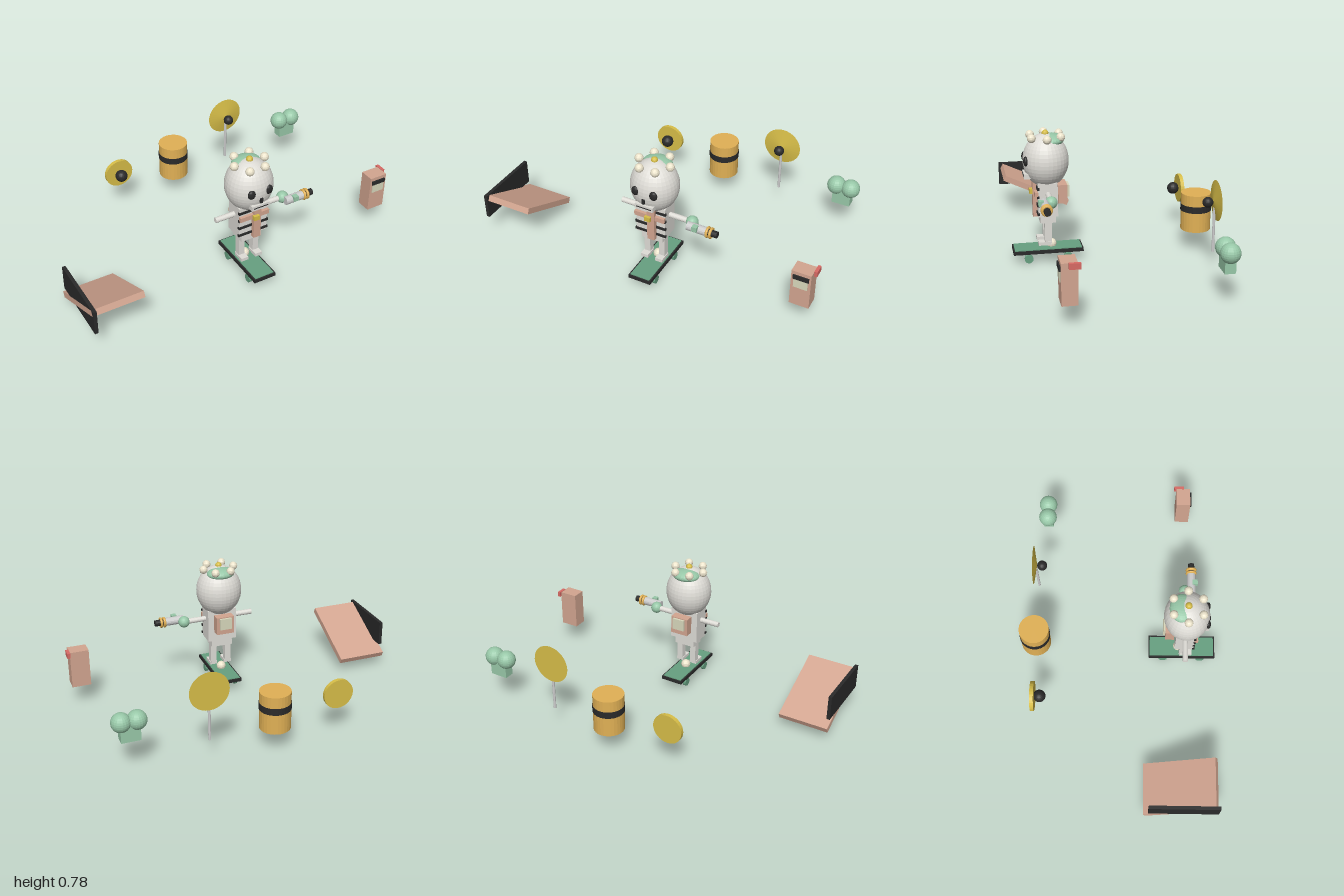
import * as THREE from 'three';

const COLORS = {
  bone: 0xdedcd6, pearl: 0xece4cc, black: 0x2a2a2a, wood: 0xd2a590, drum: 0xe0b055,
  brass: 0xd6bd48, grip: 0x66a080, green: 0x98c8a8, red: 0xd86a64, paper: 0xd8d8bc, steel: 0xc4c4c4,
};
const CX = 0.04, CZ = 0.39; // figure centre line

export function createModel() {
  const root = new THREE.Group();
  const mats = {};
  for (const [key, color] of Object.entries(COLORS))
    mats[key] = new THREE.MeshStandardMaterial({ color, flatShading: true });

  const group = (name) => {
    const g = new THREE.Group();
    g.name = name;
    root.add(g);
    return g;
  };
  const add = (parent, name, geo, mat, x, y, z) => {
    const m = new THREE.Mesh(geo, mats[mat]);
    m.name = name;
    m.position.set(x, y, z);
    parent.add(m);
    return m;
  };
  const box = (p, name, mat, w, h, d, x, y, z) => add(p, name, new THREE.BoxGeometry(w, h, d), mat, x, y, z);
  const ball = (p, name, mat, r, x, y, z, seg = 20) =>
    add(p, name, new THREE.SphereGeometry(r, seg, Math.round(seg * 0.7)), mat, x, y, z);
  // Cylinder along the chosen axis
  const rod = (p, name, mat, axis, r, len, x, y, z, seg = 16, rTop = r) => {
    const geo = new THREE.CylinderGeometry(rTop, r, len, seg);
    if (axis === 'x') geo.rotateZ(-Math.PI / 2);
    if (axis === 'z') geo.rotateX(Math.PI / 2);
    return add(p, name, geo, mat, x, y, z);
  };

  // Head and face
  const head = group('head');
  ball(head, 'skull', 'bone', 1, CX, 0.604, CZ, 32).scale.set(0.138, 0.156, 0.131);
  ball(head, 'skullCap', 'green', 1, CX, 0.722, 0.355, 24).scale.set(0.085, 0.035, 0.07);
  for (const s of [-1, 1])
    ball(head, 'eye', 'black', 1, CX + s * 0.054, 0.616, 0.508, 16).scale.set(0.024, 0.028, 0.015);
  box(head, 'nose', 'black', 0.016, 0.03, 0.02, CX, 0.57, 0.517);
  box(head, 'teeth', 'bone', 0.11, 0.03, 0.04, CX, 0.526, 0.5);
  box(head, 'mouthSlit', 'black', 0.09, 0.005, 0.004, CX, 0.526, 0.52);

  // Crown of six beads around a brass stud
  const crown = group('crown');
  for (let i = 0; i < 6; i++) {
    const a = (i * Math.PI) / 3;
    ball(crown, 'crownBead', 'pearl', 0.025, CX + 0.095 * Math.cos(a), 0.745, CZ + 0.095 * Math.sin(a), 12);
  }
  ball(crown, 'crownStud', 'brass', 0.02, CX, 0.76, CZ, 12);

  // Torso, ribs and straps
  const body = group('body');
  box(body, 'torso', 'bone', 0.18, 0.2, 0.112, CX, 0.39, 0.391);
  box(body, 'pelvis', 'bone', 0.13, 0.06, 0.09, CX, 0.275, CZ);
  for (let i = 0; i < 4; i++)
    box(body, 'rib', 'black', 0.19, 0.014, 0.014, CX, 0.31 + i * 0.05, 0.446);
  box(body, 'chestStrap', 'wood', 0.045, 0.21, 0.026, 0.053, 0.383, 0.459);
  box(body, 'crossStrap', 'wood', 0.185, 0.028, 0.02, CX, 0.425, 0.455);
  box(body, 'buckle', 'brass', 0.036, 0.028, 0.02, CX, 0.425, 0.479);

  // Backpack
  const pack = group('backpack');
  box(pack, 'packBody', 'wood', 0.11, 0.11, 0.053, CX, 0.41, 0.302);
  box(pack, 'packPocket', 'paper', 0.075, 0.07, 0.016, CX, 0.424, 0.27);

  // Legs and feet
  for (const s of [-1, 1]) {
    const leg = group(s > 0 ? 'leftLeg' : 'rightLeg');
    box(leg, 'shin', 'bone', 0.036, 0.16, 0.04, CX + s * 0.046, 0.2, 0.39);
    box(leg, 'foot', 'bone', 0.045, 0.02, 0.074, CX + s * 0.046, 0.12, 0.411);
  }
  ball(root, 'footBead', 'pearl', 0.029, CX, 0.096, 0.366, 12);

  // Arms, the left one ending in a barrel
  rod(root, 'rightArm', 'bone', 'x', 0.016, 0.14, -0.1, 0.425, CZ);
  const arm = group('leftArm');
  rod(arm, 'upperArm', 'bone', 'x', 0.016, 0.14, 0.18, 0.425, CZ);
  ball(arm, 'elbow', 'green', 0.035, 0.268, 0.425, CZ);
  rod(arm, 'barrel', 'steel', 'x', 0.025, 0.12, 0.32, 0.425, 0.43);
  box(arm, 'barrelSight', 'green', 0.03, 0.03, 0.03, 0.315, 0.44, 0.451);
  for (const x of [0.382, 0.402]) {
    const geo = new THREE.TorusGeometry(0.025, 0.008, 8, 20).rotateY(Math.PI / 2);
    add(arm, 'barrelRing', geo, 'drum', x, 0.425, 0.43);
  }
  rod(arm, 'muzzle', 'black', 'x', 0.019, 0.07, 0.405, 0.425, 0.43);

  // Skateboard
  const board = group('skateboard');
  box(board, 'deck', 'black', 0.138, 0.02, 0.406, CX, 0.069, CZ);
  box(board, 'gripTop', 'grip', 0.12, 0.006, 0.39, CX, 0.081, CZ);
  for (const z of [0.505, 0.277]) {
    box(board, 'truck', 'steel', 0.035, 0.035, 0.03, CX, 0.045, z);
    rod(board, 'axle', 'steel', 'x', 0.007, 0.11, CX, 0.028, z, 8);
    for (const s of [-1, 1])
      rod(board, 'wheel', 'grip', 'x', 0.025, 0.018, CX + s * 0.055, 0.028, z, 20);
  }

  // Sloping ramp with its side panel
  const ramp = group('ramp');
  box(ramp, 'rampPlank', 'wood', 0.3, 0.036, 0.451, -0.85, 0.1755, 0.37).rotation.x = -0.44;
  box(ramp, 'sidePanel', 'black', 0.02, 0.15, 0.406, -0.99, 0.218, 0.39);

  // Post box with slot, notice and flag
  const post = group('postBox');
  box(post, 'postBoxBody', 'wood', 0.112, 0.227, 0.085, 0.927, 0.246, 0.393);
  box(post, 'postSlot', 'black', 0.09, 0.025, 0.012, 0.927, 0.325, 0.438);
  box(post, 'notice', 'paper', 0.08, 0.055, 0.006, 0.927, 0.283, 0.437);
  box(post, 'flag', 'red', 0.018, 0.032, 0.06, 0.991, 0.347, 0.367);

  // Drum with a dark band
  const drum = group('drum');
  rod(drum, 'drumShell', 'drum', 'y', 0.089, 0.225, CX, 0.243, -0.5, 28);
  rod(drum, 'drumBand', 'black', 'y', 0.0915, 0.04, CX, 0.27, -0.5, 28);

  // Gong: thick disc with a ball in front
  const gong = group('gong');
  rod(gong, 'gongDisc', 'brass', 'z', 0.088, 0.022, -0.342, 0.26, -0.498, 32);
  ball(gong, 'gongBall', 'black', 0.037, -0.342, 0.26, -0.457);

  // Cymbal: shallow cone on a pole
  const cymbal = group('cymbal');
  rod(cymbal, 'cymbalCone', 'brass', 'z', 0.114, 0.02, 0.42, 0.431, -0.499, 32, 0.001);
  rod(cymbal, 'cymbalPole', 'steel', 'y', 0.008, 0.26, 0.42, 0.26, -0.498, 12);
  ball(cymbal, 'cymbalBall', 'black', 0.03, 0.42, 0.424, -0.46);

  // Bush: two leafy balls on a block
  const bush = group('bush');
  box(bush, 'bushBlock', 'green', 0.11, 0.1, 0.06, 0.845, 0.25, -0.448);
  for (const s of [-1, 1]) ball(bush, 'bushBall', 'green', 0.055, 0.845 + s * 0.044, 0.31, -0.448);

  return root;
}
